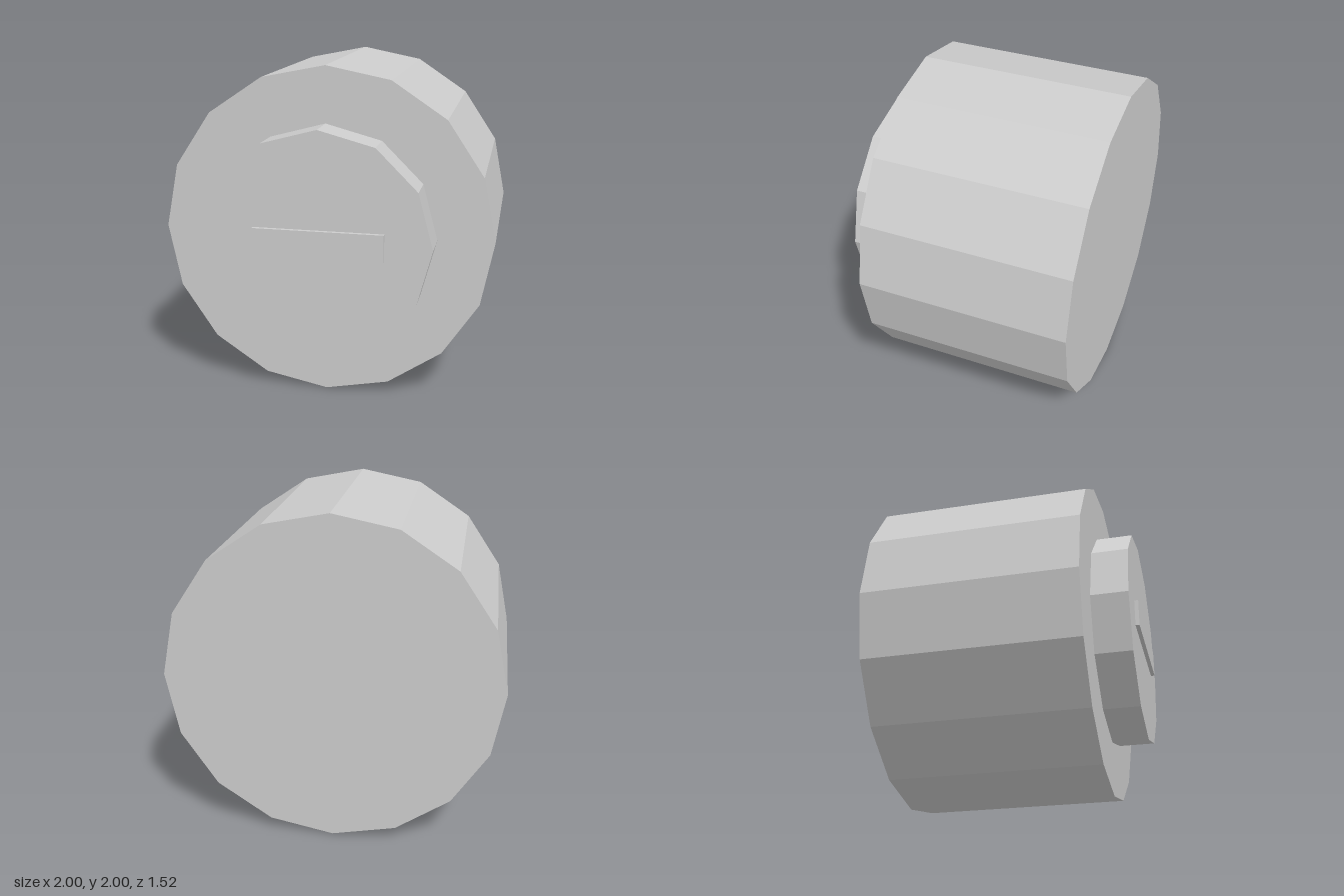
import * as THREE from 'three';

export function createModel() {
  const model = new THREE.Group();
  model.name = 'knob';
  const grey = new THREE.MeshStandardMaterial({ color: 0xcccccc, flatShading: true });
  grey.name = 'light grey';

  const add = (name, geometry, zBack, zFront) => {
    const mesh = new THREE.Mesh(geometry, grey);
    mesh.name = name;
    mesh.position.set(0, 1, (zBack + zFront) / 2);
    model.add(mesh);
  };

  // Faceted disc lying along z, with a corner pointing straight up
  const disc = (name, radius, sides, zBack, zFront) =>
    add(name, new THREE.CylinderGeometry(radius, radius, zFront - zBack, sides).rotateX(Math.PI / 2), zBack, zFront);

  disc('body', 1, 16, -0.76, 0.515);
  disc('frontCap', 0.665, 12, 0.515, 0.736);

  // Raised bar across the cap
  add('bar', new THREE.BoxGeometry(0.775, 0.166, 0.024), 0.736, 0.76);

  return model;
}
